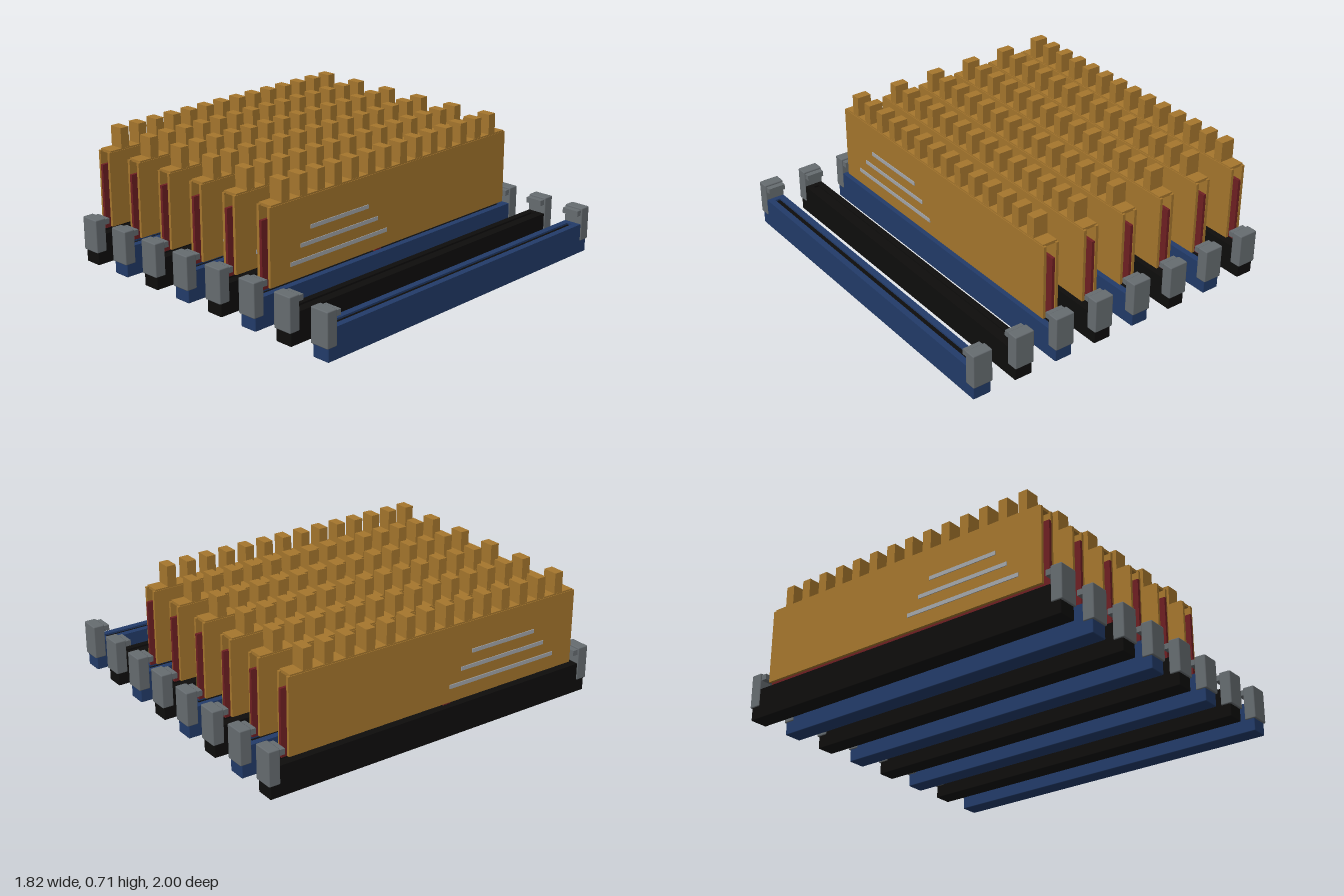
import * as THREE from 'three';
import { RoundedBoxGeometry } from 'three/addons/geometries/RoundedBoxGeometry.js';

const material = (name, color) => {
  const m = new THREE.MeshStandardMaterial({ color });
  m.name = name;
  return m;
};

export function createModel() {
  const gold = material('gold heat spreader', 0xa5762d);
  const blue = material('blue plastic', 0x223b69);
  const black = material('black plastic', 0x0e0d0c);
  const grey = material('grey latch', 0x666c70);
  const red = material('red circuit board', 0x6e1f22);
  const silver = material('silver stripe', 0xa3a6aa);

  // Box given by its min/max extents on y and z, centred at x with width w
  const box = (parent, name, mat, w, y0, y1, z0, z1, x = 0, bevel = 0) => {
    const size = [w, y1 - y0, z1 - z0];
    const geometry = bevel ? new RoundedBoxGeometry(...size, 1, bevel) : new THREE.BoxGeometry(...size);
    const mesh = new THREE.Mesh(geometry, mat);
    mesh.name = name;
    mesh.position.set(x, (y0 + y1) / 2, (z0 + z1) / 2);
    parent.add(mesh);
  };

  // Long socket with a dark groove and a latch at each end
  const createSlot = (mat) => {
    const slot = new THREE.Group();
    slot.name = 'slot';
    box(slot, 'slotBase', mat, 0.1, 0, 0.12, -0.99, 0.99, 0, 0.005);
    for (const s of [-1, 1]) {
      box(slot, 'slotRail', mat, 0.035, 0.11, 0.165, -0.94, 0.94, s * 0.0325);
      const end = new THREE.Group();
      end.name = 'latch';
      if (s < 0) end.rotation.y = Math.PI;
      box(end, 'latchBody', grey, 0.11, 0.07, 0.255, 0.936, 1, 0, 0.006);
      box(end, 'latchHook', grey, 0.096, 0.215, 0.245, 0.905, 0.94);
      box(end, 'slotEnd', mat, 0.031, 0.11, 0.165, 0.908, 0.94);
      slot.add(end);
    }
    box(slot, 'slotGroove', black, 0.031, 0.11, 0.155, -0.908, 0.908);
    return slot;
  };

  // Memory stick: board, chips, two spreader plates and a row of fins
  const createStick = () => {
    const stick = new THREE.Group();
    stick.name = 'memoryStick';
    box(stick, 'circuitBoard', red, 0.016, 0.176, 0.53, -0.9, 0.9);
    box(stick, 'boardKey', red, 0.016, 0.15, 0.18, 0.07, 0.11);
    for (const s of [-1, 1]) {
      for (let i = 0; i < 8; i++) {
        const z = -0.77 + i * 0.22;
        box(stick, 'chip', black, 0.014, 0.36, 0.465, z - 0.07, z + 0.07, s * 0.015);
        box(stick, 'chip', black, 0.014, 0.21, 0.312, z - 0.07, z + 0.07, s * 0.015);
      }
      box(stick, 'spreaderPlate', gold, 0.016, 0.19, 0.597, -0.882, 0.882, s * 0.037);
      for (let i = 0; i < 3; i++) {
        box(stick, 'stripe', silver, 0.005, 0.265 + i * 0.08, 0.286 + i * 0.08,
          0.07 + i * 0.068, 0.75 - i * 0.068, s * 0.0465);
      }
    }
    box(stick, 'spreaderTop', gold, 0.084, 0.59, 0.605, -0.87, 0.87);
    for (let i = 0; i < 14; i++) {
      const z = -0.772 + i * 0.1188;
      box(stick, 'fin', gold, 0.082, 0.6, 0.715, z - 0.026, z + 0.026);
    }
    return stick;
  };

  // Eight slots in alternating colours, the first six filled
  const model = new THREE.Group();
  model.name = 'memoryBank';
  for (let i = 0; i < 8; i++) {
    const bay = new THREE.Group();
    bay.name = 'bay';
    bay.position.x = (i - 3.5) * 0.244;
    bay.add(createSlot(i % 2 ? blue : black));
    if (i < 6) bay.add(createStick());
    model.add(bay);
  }
  return model;
}
